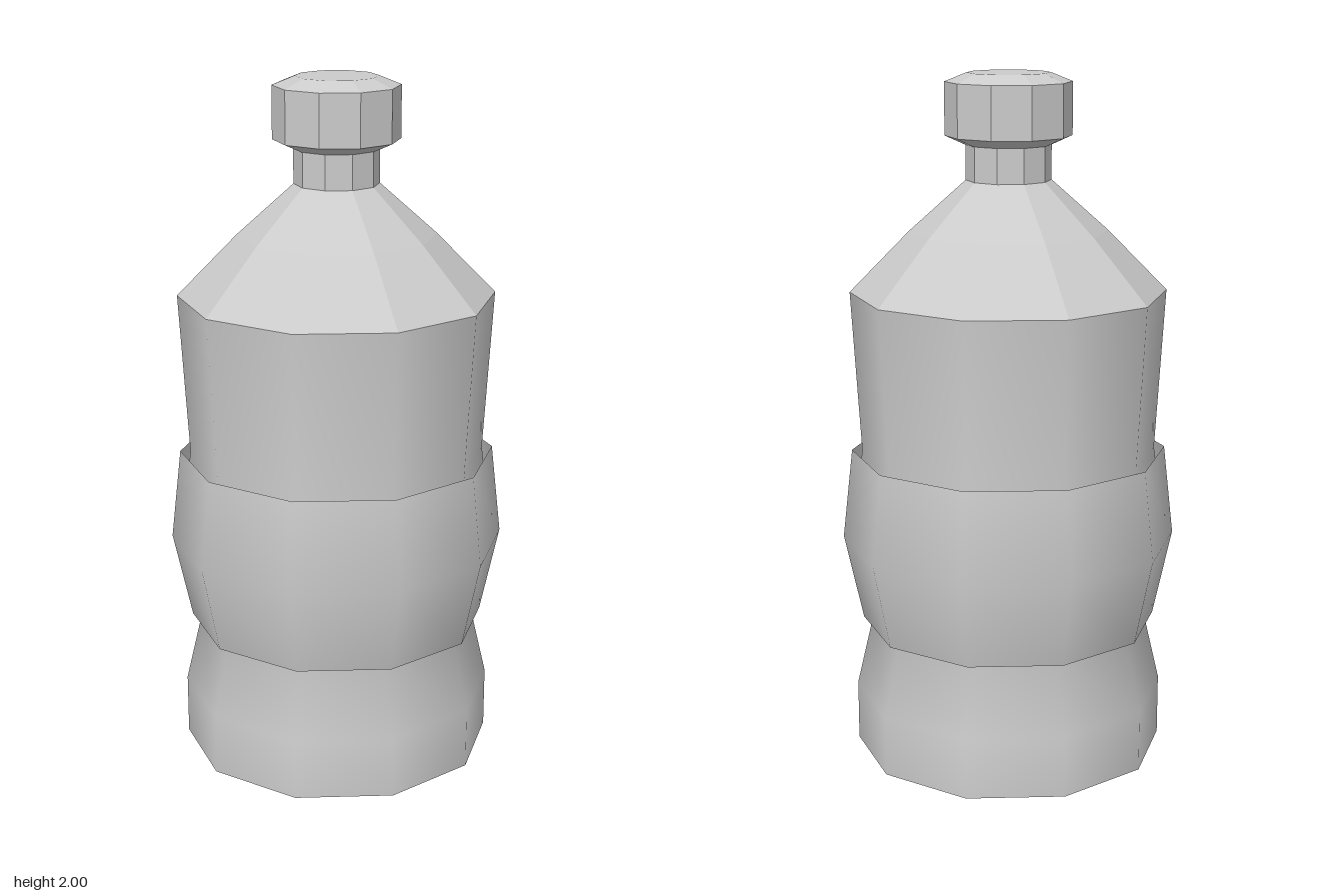
import * as THREE from 'three';

const SIDES = 10;

export function createModel() {
  const bottle = new THREE.Group();
  bottle.name = 'bottle';

  // Ten-sided turned part with a corner on +x; profile is [radius, y] from bottom to top
  function turned(name, profile, options = {}) {
    const points = profile.map(([r, y]) => new THREE.Vector2(r, y));
    const geometry = new THREE.LatheGeometry(points, SIDES, Math.PI / 2);
    const material = new THREE.MeshStandardMaterial({ color: 0xcccccc, ...options });
    const mesh = new THREE.Mesh(geometry, material);
    mesh.name = name;
    bottle.add(mesh);
    return mesh;
  }

  const flat = { flatShading: true };

  // Underside: foot ring around a shallow recess
  turned('base', [[0, 0.02], [0.35, 0.02], [0.35, 0], [0.457, 0]], flat);

  // Smooth wall with a waist, a bulge behind the label and a flared upper part
  turned('body', [
    [0.457, 0], [0.457, 0.18], [0.408, 0.39], [0.462, 0.645],
    [0.43, 0.91], [0.457, 1.38],
  ]);

  // Open label sleeve standing slightly off the wall
  turned('label', [[0.435, 0.39], [0.49, 0.645], [0.46, 0.91]], { side: THREE.DoubleSide });

  // Faceted shoulder and neck
  turned('shoulder', [[0.457, 1.38], [0.285, 1.555], [0.122, 1.7]], flat);
  turned('neck', [[0.122, 1.7], [0.122, 1.83]], flat);

  // Screw cap with bevelled rims
  turned('cap', [
    [0, 1.8], [0.125, 1.8], [0.181, 1.825], [0.181, 1.975], [0.118, 2], [0, 2],
  ], flat);

  return bottle;
}
